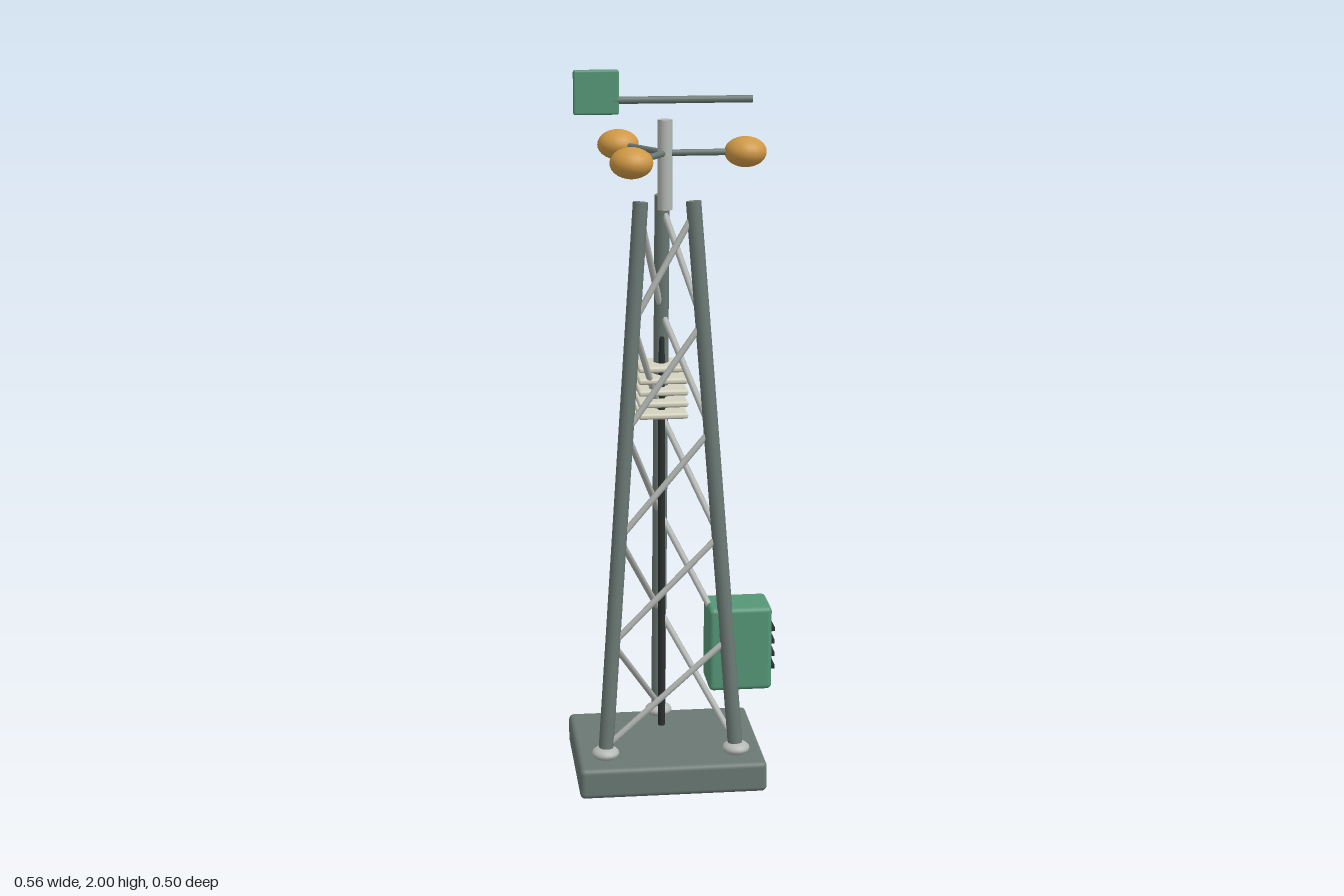
import * as THREE from 'three';
import { RoundedBoxGeometry } from 'three/addons/geometries/RoundedBoxGeometry.js';

const mat = (color) => new THREE.MeshStandardMaterial({ color });
const steel = mat(0x6a7873);
const alloy = mat(0xb4b8b4);
const green = mat(0x569676);
const amber = mat(0xcf9845);
const cream = mat(0xd4d2bf);
const dark = mat(0x2b302f);

const AXIS = -0.02; // x of the mast
const V = (x, y, z) => new THREE.Vector3(x, y, z);

export function createModel() {
  const root = new THREE.Group();
  root.name = 'weatherStation';

  const add = (name, geometry, material, pos = V(0, 0, 0)) => {
    const mesh = new THREE.Mesh(geometry, material);
    mesh.name = name;
    mesh.position.copy(pos);
    root.add(mesh);
    return mesh;
  };
  const box = (name, material, size, pos, radius) =>
    add(name, new RoundedBoxGeometry(...size, 3, radius), material, pos);
  // Cylinder between two points
  const bar = (name, material, a, b, radius, sides = 12) => {
    const dir = b.clone().sub(a);
    const mesh = add(name, new THREE.CylinderGeometry(radius, radius, dir.length(), sides),
      material, a.clone().lerp(b, 0.5));
    mesh.quaternion.setFromUnitVectors(V(0, 1, 0), dir.normalize());
    return mesh;
  };

  // Plinth
  box('base', steel, [0.526, 0.088, 0.447], V(AXIS, 0.044, 0), 0.015);

  // Three leaning legs with squashed feet
  const legs = [
    [V(AXIS - 0.185, 0.09, 0.137), V(AXIS - 0.072, 1.65, 0.05)],
    [V(AXIS + 0.185, 0.09, 0.137), V(AXIS + 0.072, 1.65, 0.05)],
    [V(AXIS, 0.09, -0.188), V(AXIS, 1.65, -0.072)],
  ];
  for (const [foot, top] of legs) {
    bar('leg', steel, foot, top, 0.021);
    add('foot', new THREE.SphereGeometry(0.039, 20, 12), alloy, V(foot.x, 0.104, foot.z))
      .scale.y = 0.5;
  }

  // Diagonal braces, one per bay, winding round the tower
  const bays = 5;
  const onLeg = (i, level) => {
    const [foot, top] = legs[i % 3];
    return foot.clone().lerp(top, 0.02 + 0.96 * level / bays);
  };
  for (let face = 0; face < 3; face++) {
    for (let bay = 0; bay < bays; bay++) {
      bar('brace', alloy, onLeg(face, bay), onLeg(face + 1, bay + 1), 0.009, 8);
    }
  }

  // Louvred sensor shield on the back leg, with its cable to the base
  for (let i = 0; i < 5; i++) {
    box('shieldPlate', cream, [0.14, 0.017, 0.128], V(AXIS, 1.03 + i * 0.0335, -0.1), 0.007);
  }
  const cablePath = new THREE.CatmullRomCurve3([
    V(AXIS, 1.25, -0.09), V(AXIS, 0.7, -0.092), V(AXIS, 0.085, -0.1),
  ]);
  add('cable', new THREE.TubeGeometry(cablePath, 16, 0.01, 8), dark);

  // Equipment cabinet with vent slots
  box('cabinet', green, [0.178, 0.243, 0.14], V(0.18, 0.388, 0.05), 0.014);
  for (let i = 0; i < 4; i++) {
    add('ventSlot', new THREE.BoxGeometry(0.014, 0.011, 0.094), dark,
      V(0.273, 0.326 + i * 0.037, 0.049));
  }

  // Mast and spinning cups
  bar('mast', alloy, V(AXIS, 1.62, 0), V(AXIS, 1.865, 0), 0.02, 16);
  for (let i = 0; i < 3; i++) {
    const angle = i * Math.PI * 2 / 3;
    const tip = V(AXIS + 0.22 * Math.cos(angle), 1.775, 0.22 * Math.sin(angle));
    bar('cupArm', steel, V(AXIS, 1.775, 0), tip, 0.009, 10);
    add('cup', new THREE.SphereGeometry(0.058, 20, 14), amber, tip).scale.y = 0.72;
  }

  // Wind vane
  bar('vaneRod', steel, V(-0.16, 1.918, 0), V(0.218, 1.918, 0), 0.01, 10);
  box('vaneFin', green, [0.123, 0.12, 0.019], V(-0.206, 1.94, 0), 0.006);

  return root;
}
